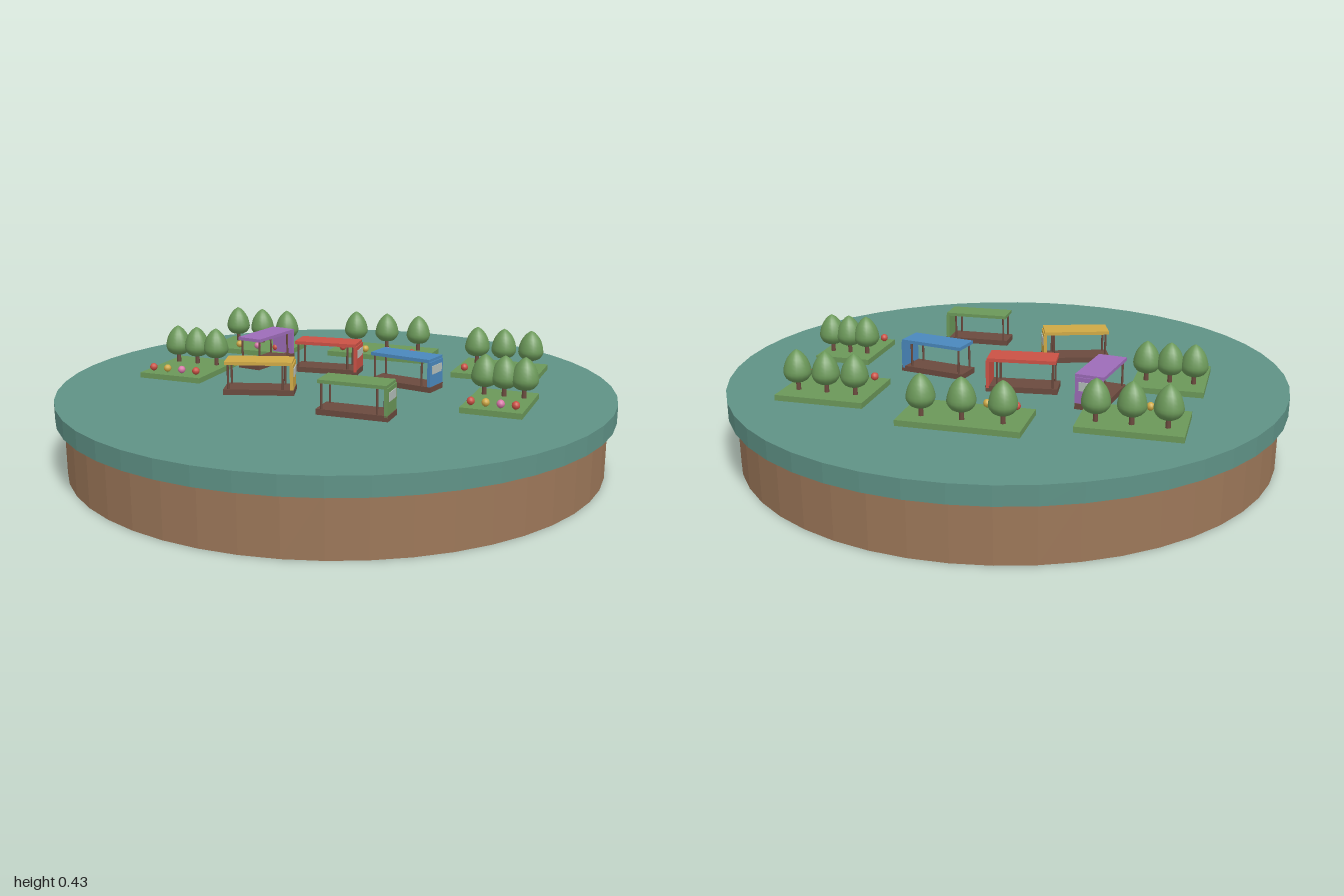
import * as THREE from 'three';

const mat = (name, color) => {
  const m = new THREE.MeshStandardMaterial({ color });
  m.name = name;
  return m;
};

export function createModel() {
  const M = {
    teal: mat('teal paving', 0x5f9286),
    earth: mat('earth brown', 0x9c7759),
    green: mat('leaf green', 0x6b9859),
    wood: mat('dark wood', 0x6b4a3e),
    red: mat('red', 0xcb5145),
    yellow: mat('yellow', 0xcfa945),
    purple: mat('purple', 0x9d6cb8),
    blue: mat('blue', 0x4a88bd),
    pink: mat('pink', 0xd878a8),
    glass: mat('pale window', 0xb4bfba),
  };
  const root = new THREE.Group();
  root.name = 'marketIsland';

  const add = (parent, name, geometry, material, x, y, z) => {
    const mesh = new THREE.Mesh(geometry, material);
    mesh.name = name;
    mesh.position.set(x, y, z);
    parent.add(mesh);
    return mesh;
  };
  const place = (name, x, z, degrees) => {
    const g = new THREE.Group();
    g.name = name;
    g.position.set(x, 0.265, z);
    g.rotation.y = -THREE.MathUtils.degToRad(degrees);
    root.add(g);
    return g;
  };
  const faceted = (geometry) => {
    const g = geometry.toNonIndexed();
    g.computeVertexNormals();
    return g;
  };

  // Round island: earth body under a slightly wider paved disc
  add(root, 'earthBase', faceted(new THREE.CylinderGeometry(0.97, 0.97, 0.2, 48)), M.earth, 0, 0.1, 0);
  add(root, 'pavedDisc', faceted(new THREE.CylinderGeometry(1, 1, 0.065, 48)), M.teal, 0, 0.2325, 0);

  // Shared plant shapes
  const crown = new THREE.LatheGeometry(
    new THREE.SplineCurve([
      [0, 0.05], [0.028, 0.053], [0.045, 0.072], [0.047, 0.092],
      [0.037, 0.125], [0.018, 0.151], [0, 0.163],
    ].map(([r, y]) => new THREE.Vector2(r, y))).getPoints(14).map((p) => p.setX(Math.max(p.x, 0))), 16);
  const trunk = new THREE.CylinderGeometry(0.007, 0.009, 0.045, 8);
  const bloom = new THREE.SphereGeometry(0.014, 10, 8);
  const stem = new THREE.CylinderGeometry(0.003, 0.003, 0.014, 6);

  // Garden beds: centre x, centre z, length, width
  const beds = [
    [-0.348, -0.575, 0.344, 0.23],
    [0.178, -0.49, 0.41, 0.21],
    [0.618, -0.18, 0.315, 0.26],
    [-0.567, -0.17, 0.25, 0.3],
    [0.564, 0.278, 0.21, 0.275],
  ];
  for (const [x, z, length, width] of beds) {
    const bed = place('gardenBed', x, z, 20);
    add(bed, 'lawn', new THREE.BoxGeometry(length, 0.02, width), M.green, 0, 0.01, 0);
    for (const u of [-0.33, 0, 0.33]) {
      add(bed, 'treeTrunk', trunk, M.wood, u * length, 0.04, -0.21 * width);
      add(bed, 'treeCrown', crown, M.green, u * length, 0, -0.21 * width);
    }
    [M.red, M.yellow, M.pink, M.red].forEach((color, i) => {
      const u = (-0.36 + i * 0.24) * length;
      add(bed, 'flowerStem', stem, M.green, u, 0.025, 0.37 * width);
      add(bed, 'flower', bloom, color, u, 0.036, 0.37 * width);
    });
  }

  // Market stalls: colour, centre x, centre z, heading of the closed end
  const stalls = [
    ['green', 0.08, 0.4, 19],
    ['yellow', -0.265, 0.123, 2],
    ['blue', 0.255, 0.015, 31],
    ['red', -0.035, -0.2, 14],
    ['purple', -0.285, -0.33, -61],
  ];
  for (const [color, x, z, heading] of stalls) {
    const stall = place(color + 'Stall', x, z, heading);
    add(stall, 'stallFloor', new THREE.BoxGeometry(0.25, 0.02, 0.096), M.wood, 0, 0.01, 0);
    add(stall, 'stallRoof', new THREE.BoxGeometry(0.238, 0.012, 0.1), M[color], 0, 0.114, 0);
    add(stall, 'endWall', new THREE.BoxGeometry(0.012, 0.098, 0.096), M[color], 0.117, 0.061, 0);
    add(stall, 'endWindow', new THREE.BoxGeometry(0.004, 0.03, 0.07), M.glass, 0.124, 0.08, 0);
    for (const px of [-0.108, 0.085]) {
      for (const pz of [-0.04, 0.04]) {
        add(stall, 'roofPost', new THREE.CylinderGeometry(0.004, 0.004, 0.09, 8), M.wood, px, 0.064, pz);
      }
    }
  }

  return root;
}
